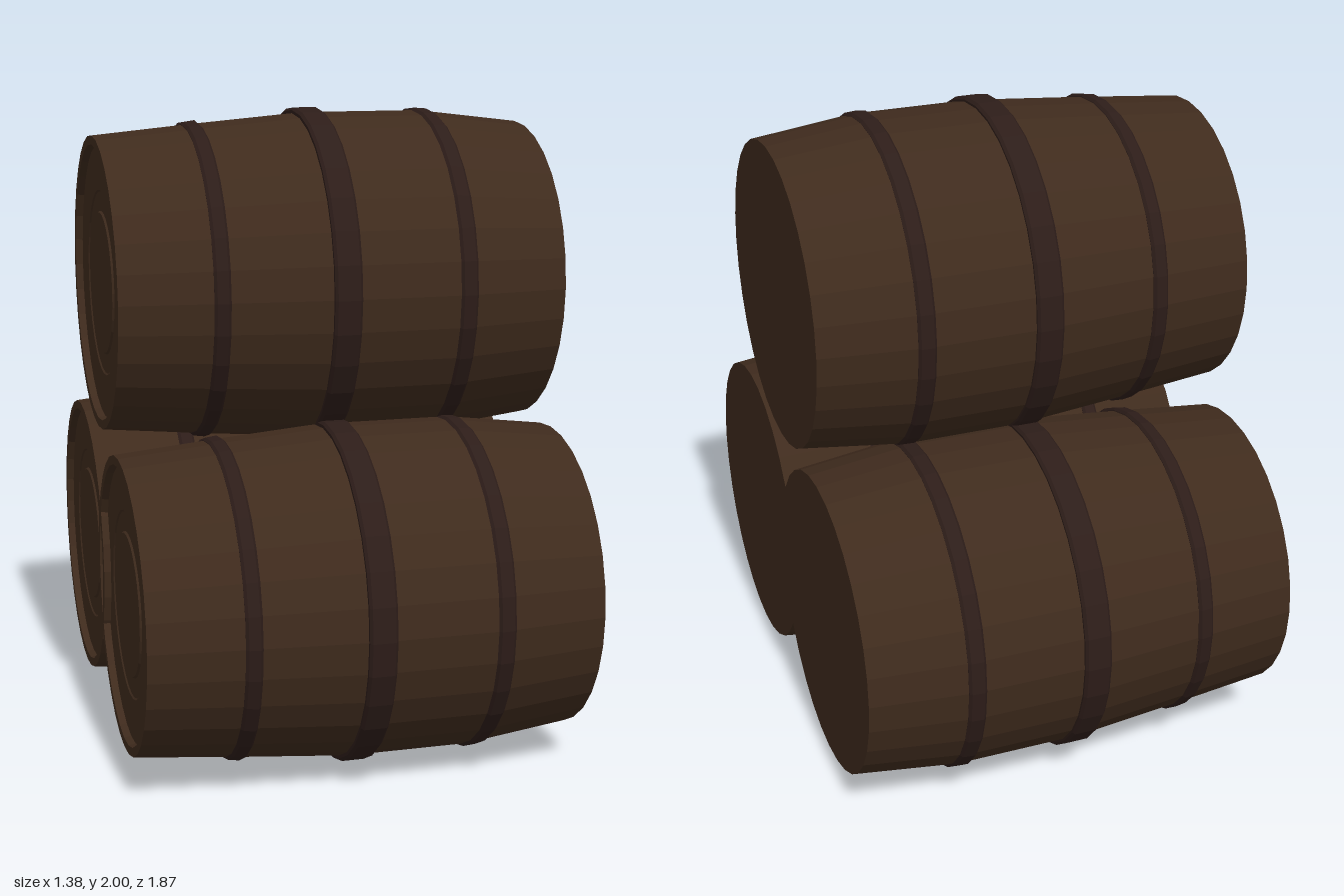
import * as THREE from 'three';

const SIDES = 32;
const wood = new THREE.MeshStandardMaterial({ color: 0x3f2b1d, flatShading: true });
const iron = new THREE.MeshStandardMaterial({ color: 0x2d1d19, flatShading: true });

// Revolve a [radius, x] profile around the x axis
function turned(name, profile, material) {
  const points = profile.map(([r, x]) => new THREE.Vector2(r, x));
  const geometry = new THREE.LatheGeometry(points, SIDES);
  geometry.rotateZ(-Math.PI / 2);
  const mesh = new THREE.Mesh(geometry, material);
  mesh.name = name;
  return mesh;
}

// Hoop from x0 to x1 with chamfered edges, sunk slightly into the staves
function hoop(name, x0, x1, r0, r1) {
  const c = 0.008, sink = 0.025;
  return turned(name, [
    [r0 - sink, x0], [r0 - c, x0], [r0, x0 + c],
    [r1, x1 - c], [r1 - c, x1], [r1 - sink, x1],
  ], iron);
}

function createBarrel(name) {
  const barrel = new THREE.Group();
  barrel.name = name;

  // Staves, with a flat head at +x and a raised rim at -x
  barrel.add(turned('staves', [
    [0.425, -0.665], [0.43, -0.69], [0.458, -0.69], [0.487, -0.385],
    [0.518, -0.02], [0.518, 0.36], [0.478, 0.69], [0, 0.69],
  ], wood));

  // Recessed head with shallow concentric steps
  barrel.add(turned('recessedHead', [
    [0, -0.67], [0.22, -0.67], [0.225, -0.664], [0.285, -0.664],
    [0.29, -0.668], [0.43, -0.668],
  ], wood));

  barrel.add(hoop('narrowHoop', -0.41, -0.36, 0.494, 0.499));
  barrel.add(hoop('middleHoop', -0.055, 0.03, 0.533, 0.533));
  barrel.add(hoop('wideHoop', 0.34, 0.395, 0.526, 0.523));
  return barrel;
}

export function createModel() {
  const model = new THREE.Group();
  model.name = 'barrelStack';
  // Two barrels side by side, one resting on top
  const places = [
    ['frontBarrel', 0.536, 0.4],
    ['backBarrel', 0.536, -0.4],
    ['topBarrel', 1.467, 0.015],
  ];
  for (const [name, y, z] of places) {
    const barrel = createBarrel(name);
    barrel.position.set(0, y, z);
    model.add(barrel);
  }
  return model;
}
